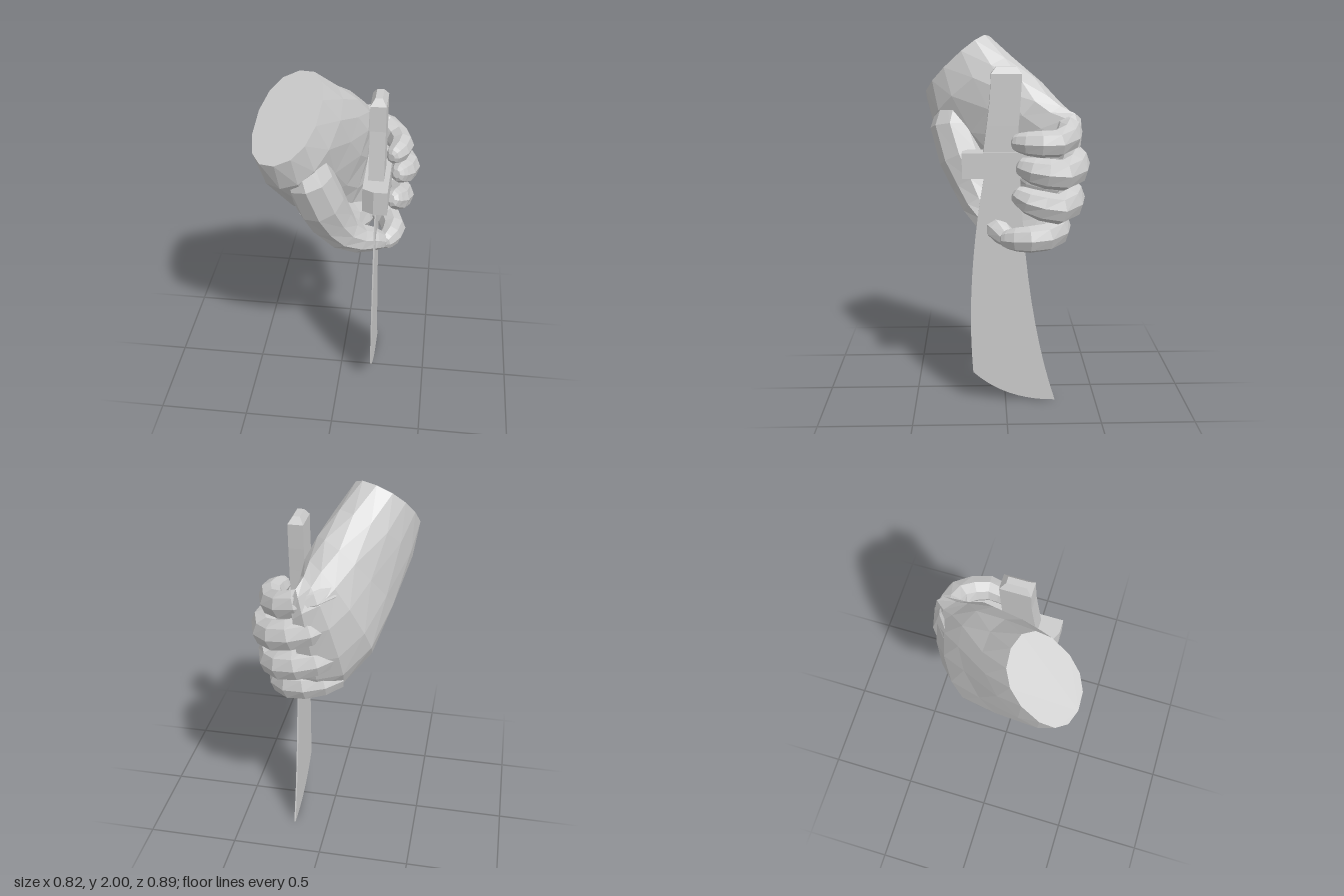
import * as THREE from 'three';

const skin = new THREE.MeshStandardMaterial({ color: 0xcccccc, flatShading: true, side: THREE.DoubleSide });
const V = (a) => new THREE.Vector3(...a);

// Closed solid through rings of { c: centre, u, v: half-axis vectors, hollow: flattening of the -v side }
function loft(rings, sides, power = 1, phase = 0) {
  const pos = [], idx = [];
  const bend = (t) => Math.sign(t) * Math.abs(t) ** power;
  for (const { c, u, v, hollow = 0 } of rings) {
    for (let i = 0; i < sides; i++) {
      const a = phase + (i / sides) * Math.PI * 2;
      const s = bend(Math.sin(a)) * (Math.sin(a) < 0 ? 1 - hollow : 1);
      const p = c.clone().addScaledVector(u, bend(Math.cos(a))).addScaledVector(v, s);
      pos.push(p.x, p.y, p.z);
    }
  }
  const last = (rings.length - 1) * sides;
  for (let r = 0; r < last; r += sides) {
    for (let i = 0; i < sides; i++) {
      const j = (i + 1) % sides;
      idx.push(r + i, r + j, r + sides + i, r + j, r + sides + j, r + sides + i);
    }
  }
  for (let i = 1; i < sides - 1; i++) idx.push(0, i + 1, i, last, last + i, last + i + 1);

  // Turn the faces outwards if the rings wind the other way
  const at = (i) => new THREE.Vector3().fromArray(pos, i * 3);
  let volume = 0;
  for (let i = 0; i < idx.length; i += 3) volume += at(idx[i]).dot(at(idx[i + 1]).cross(at(idx[i + 2])));
  if (volume < 0) idx.reverse();

  const g = new THREE.BufferGeometry();
  g.setAttribute('position', new THREE.Float32BufferAttribute(pos, 3));
  g.setIndex(idx);
  g.computeVertexNormals();
  return g;
}

// Tapered limb along points [x, y, z, radius], with a rounded tip; side is a direction the path never takes
function limb(points, sides, side) {
  const centres = points.map((p) => V(p.slice(0, 3)));
  const rings = centres.map((c, i) => {
    const t = centres[Math.min(i + 1, centres.length - 1)].clone().sub(centres[Math.max(i - 1, 0)]).normalize();
    const v = t.clone().cross(V(side)).normalize();
    const u = v.clone().cross(t);
    return { c, t, u: u.multiplyScalar(points[i][3]), v: v.multiplyScalar(points[i][3] * 0.93) };
  });
  const end = rings[rings.length - 1], r = points[points.length - 1][3];
  for (const [step, k] of [[0.45, 0.8], [0.7, 0.4]]) {
    rings.push({
      c: end.c.clone().addScaledVector(end.t, r * step),
      u: end.u.clone().multiplyScalar(k),
      v: end.v.clone().multiplyScalar(k),
    });
  }
  return loft(rings, sides);
}

export function createModel() {
  const model = new THREE.Group();
  const add = (parent, name, geometry) => {
    const mesh = new THREE.Mesh(geometry, skin);
    mesh.name = name;
    parent.add(mesh);
  };

  const hand = new THREE.Group();
  hand.name = 'hand';
  const sword = new THREE.Group();
  sword.name = 'sword';
  model.add(hand, sword);

  // Wrist and palm: centre, half width (towards the thumb), half thickness (towards the back), hollow of the palm
  const palm = [
    [[-0.235, 1.825, 0.258], [-0.04, -0.168, 0.18], [-0.166, -0.05, -0.025], 0],
    [[-0.18, 1.69, 0.17], [-0.08, -0.19, 0.22], [-0.178, -0.04, -0.06], 0],
    [[-0.105, 1.53, 0.02], [-0.13, -0.25, 0.18], [-0.145, -0.02, -0.13], 0.1],
    [[-0.04, 1.39, -0.125], [-0.13, -0.3, 0.1], [-0.125, 0, -0.145], 0.15],
    [[0.025, 1.3, -0.235], [-0.08, -0.335, 0.06], [-0.085, 0, -0.12], 0.1],
    [[0.09, 1.275, -0.31], [-0.04, -0.325, 0.06], [-0.03, 0, -0.08], 0],
    [[0.145, 1.26, -0.335], [-0.01, -0.28, 0.05], [-0.01, 0, -0.04], 0],
  ].map(([c, u, v, hollow]) => ({ c: V(c), u: V(u), v: V(v), hollow }));
  add(hand, 'palm', loft(palm, 14, 0.88));

  // Fingers: heights of knuckle, bend and tip, shift in x, shift in z, thickness
  const fingers = [
    ['littleFinger', 1.55, 1.46, 1.465, -0.03, 0.02, 0.068],
    ['ringFinger', 1.38, 1.3, 1.34, 0, -0.01, 0.077],
    ['middleFinger', 1.19, 1.115, 1.185, -0.025, 0.01, 0.077],
    ['indexFinger', 1.02, 0.955, 0.945, -0.055, 0.075, 0.071],
  ];
  for (const [name, knuckle, bend, tip, dx, dz, r] of fingers) {
    const path = [[0, -0.28, 1], [0.08, -0.335, 1.12], [0.17, -0.36, 1.12], [0.245, -0.347, 1.1],
      [0.308, -0.285, 1.06], [0.337, -0.2, 1.03], [0.325, -0.13, 0.92], [0.305, -0.085, 0.75]];
    add(hand, name, limb(path.map(([x, z, k], i) => {
      const y = i < 4 ? knuckle + (bend - knuckle) * i / 4 : bend + (tip - bend) * (i - 4) / 3;
      return [x + dx, y, z + dz, r * k];
    }), 8, [0, 1, 0]));
  }

  // Thumb, from the ball of the hand to the tip lying against the blade
  add(hand, 'thumb', limb([
    [-0.18, 1.66, 0.24, 0.11], [-0.13, 1.5, 0.275, 0.135], [-0.085, 1.34, 0.225, 0.14], [-0.04, 1.2, 0.165, 0.128],
    [0.02, 1.085, 0.125, 0.108], [0.1, 1.015, 0.085, 0.085], [0.17, 0.98, 0.035, 0.072], [0.215, 0.95, 0, 0.055],
  ], 9, [0, 0, 1]));

  // Web of the hand between thumb and index finger
  add(hand, 'thumbWeb', limb([
    [-0.14, 1.25, 0.07, 0.12], [-0.085, 1.1, 0, 0.125], [0.01, 1, -0.1, 0.118], [0.08, 0.97, -0.2, 0.09],
  ], 8, [0, 1, 0]));

  // Blade: curved outline in the z-y plane
  const outline = new THREE.Shape();
  outline.moveTo(0.11, 1.3);
  outline.quadraticCurveTo(0.22, 0.7, 0.18, 0.17);
  outline.quadraticCurveTo(0, 0, -0.275, 0);
  outline.quadraticCurveTo(-0.11, 0.5, -0.075, 1.3);
  const blade = new THREE.ExtrudeGeometry(outline, { depth: 0.008, bevelEnabled: false, curveSegments: 10 });
  blade.rotateY(-Math.PI / 2).translate(0.198, 0, 0);
  add(sword, 'blade', blade);

  // Guard: bar with one clipped corner, drawn from above
  const bar = new THREE.Shape([[0.13, 0.23], [0.262, 0.23], [0.262, -0.23], [0.19, -0.23], [0.13, -0.2]]
    .map(([x, y]) => new THREE.Vector2(x, y)));
  const guard = new THREE.ExtrudeGeometry(bar, { depth: 0.135, bevelEnabled: false });
  guard.rotateX(-Math.PI / 2).translate(0, 1.275, 0);
  add(sword, 'guard', guard);

  // Grip: square section, gently curved, with a chamfered pommel; rows of [y, z, half depth, half width]
  const grip = [[1.3, 0.036, 0.09, 0.041], [1.41, 0.03, 0.088, 0.041], [1.55, 0.016, 0.083, 0.041],
    [1.68, 0.003, 0.08, 0.041], [1.815, -0.004, 0.08, 0.041], [1.85, -0.003, 0.052, 0.018]]
    .map(([y, z, d, w]) => ({
      c: V([0.193, y, z]),
      u: V([w * Math.SQRT2, 0, 0]),
      v: V([0, 0, d * Math.SQRT2]),
    }));
  add(sword, 'grip', loft(grip, 4, 1, Math.PI / 4));

  return model;
}
